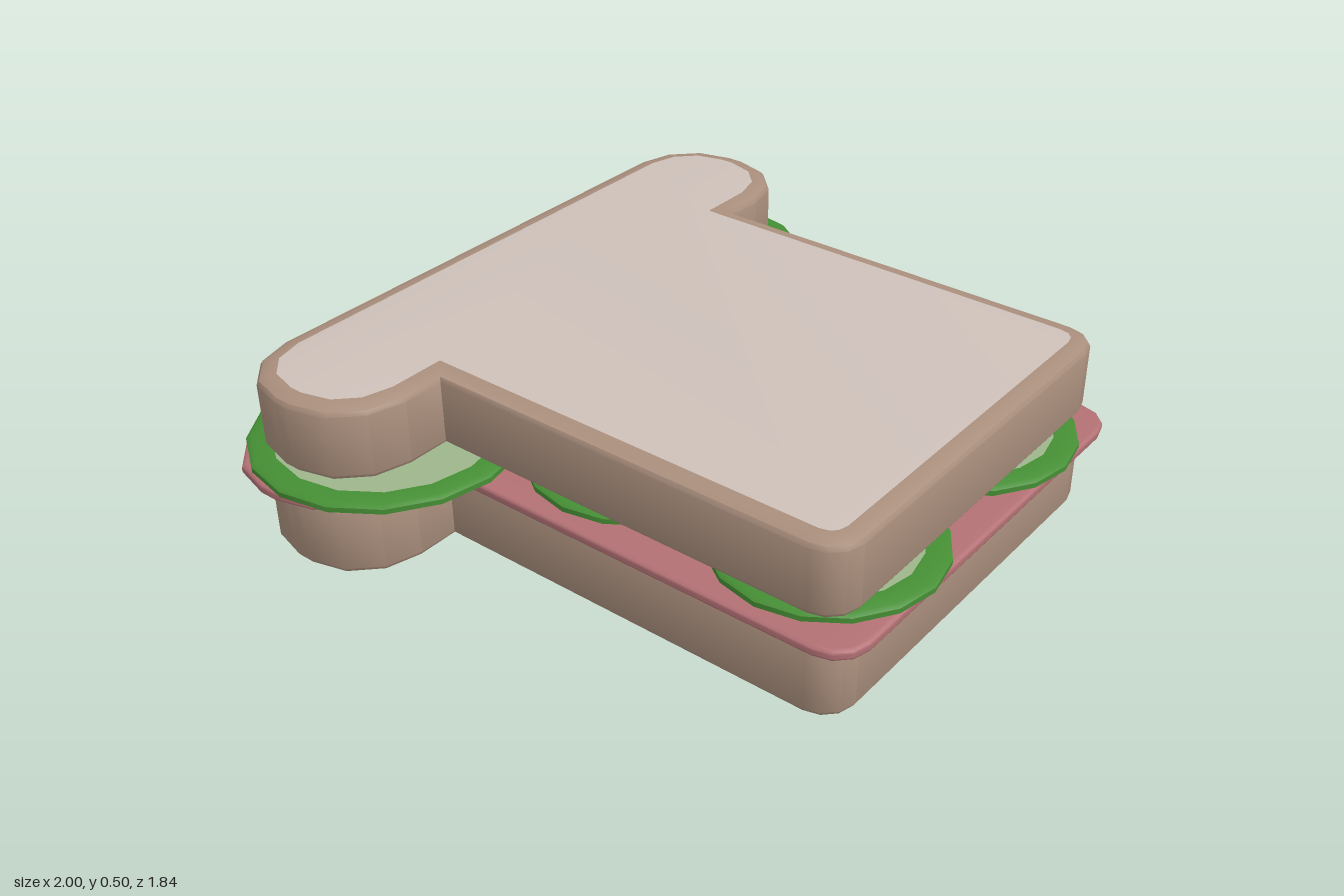
import * as THREE from 'three';
import { toCreasedNormals } from 'three/addons/utils/BufferGeometryUtils.js';

const mat = (name, color) => {
  const m = new THREE.MeshStandardMaterial({ color });
  m.name = name;
  return m;
};

// T-shaped loaf outline, symmetric about x = CX; shape y becomes world z
const CX = -0.01, CZ = 0.0125;
function loafOutline(scale) {
  const half = [];
  const corner = (x, z, rx, rz, from) => {
    for (let i = 0; i <= 3; i++) {
      const a = from + (i / 3) * Math.PI / 2;
      half.push([x + rx * Math.cos(a), z + rz * Math.sin(a)]);
    }
  };
  corner(0.72, -0.615, 0.2, 0.2, -Math.PI / 2); // back of the head
  corner(0.72, -0.565, 0.2, 0.2, 0);            // front of the head
  half.push([0.6025, -0.365]);                  // inner corner
  corner(0.5125, 0.75, 0.09, 0.09, 0);          // front of the body
  const all = [...half, ...half.slice().reverse().map(([x, z]) => [-x, z])];
  return new THREE.Shape(all.map(([x, z]) =>
    new THREE.Vector2(CX + x * scale, CZ + (z - CZ) * scale)));
}

// Horizontal slab with rounded edges between two heights
function slab(scale, y0, y1, bevelSize, bevelThickness) {
  const geo = new THREE.ExtrudeGeometry(loafOutline(scale), {
    depth: y1 - y0 - 2 * bevelThickness,
    bevelEnabled: true, bevelSize, bevelThickness,
    bevelOffset: -bevelSize, bevelSegments: 3,
  });
  geo.rotateX(Math.PI / 2);
  geo.translate(0, y1 - bevelThickness, 0);
  return toCreasedNormals(geo, 0.6);
}

export function createModel() {
  const model = new THREE.Group();
  model.name = 'sandwich';
  const crust = mat('crust', 0xa98e7c);
  const crumb = mat('crumb', 0xcdc0b9);
  const ham = mat('ham', 0xb27074);
  const peel = mat('cucumberPeel', 0x458e34);
  const flesh = mat('cucumberFlesh', 0x9db58c);

  const add = (parent, name, geo, material) => {
    const mesh = new THREE.Mesh(geo, material);
    mesh.name = name;
    parent.add(mesh);
    return mesh;
  };

  // Bread: flat faces are crumb, sides and rounded edges are crust
  add(model, 'bottomBread', slab(1, 0, 0.217, 0.05, 0.022), [crumb, crust]);
  add(model, 'topBread', slab(1, 0.286, 0.5, 0.05, 0.022), [crumb, crust]);

  // Ham slice, a little wider than the bread
  add(model, 'hamSlice', slab(1.06, 0.22, 0.25, 0.012, 0.01), ham);

  // Cucumber slices: x, z, radius
  const slices = [
    [-0.635, -0.555, 0.365], [0.655, -0.58, 0.345], [0.02, -0.55, 0.29],
    [-0.33, 0.035, 0.288], [0.3, 0.035, 0.288],
    [-0.33, 0.62, 0.296], [0.295, 0.62, 0.296],
  ];
  for (const [x, z, r] of slices) {
    const slice = new THREE.Group();
    slice.name = 'cucumberSlice';
    slice.position.set(x, 0.269, z);
    const profile = [
      [r - 0.065, -0.014], [r - 0.012, -0.015], [r, -0.007],
      [r, 0.007], [r - 0.012, 0.015], [r - 0.065, 0.014],
    ].map(([a, b]) => new THREE.Vector2(a, b));
    add(slice, 'peelRing', toCreasedNormals(new THREE.LatheGeometry(profile, 16), 0.8), peel);
    add(slice, 'fleshDisc', new THREE.CylinderGeometry(r - 0.06, r - 0.06, 0.024, 16), flesh);
    model.add(slice);
  }
  return model;
}
